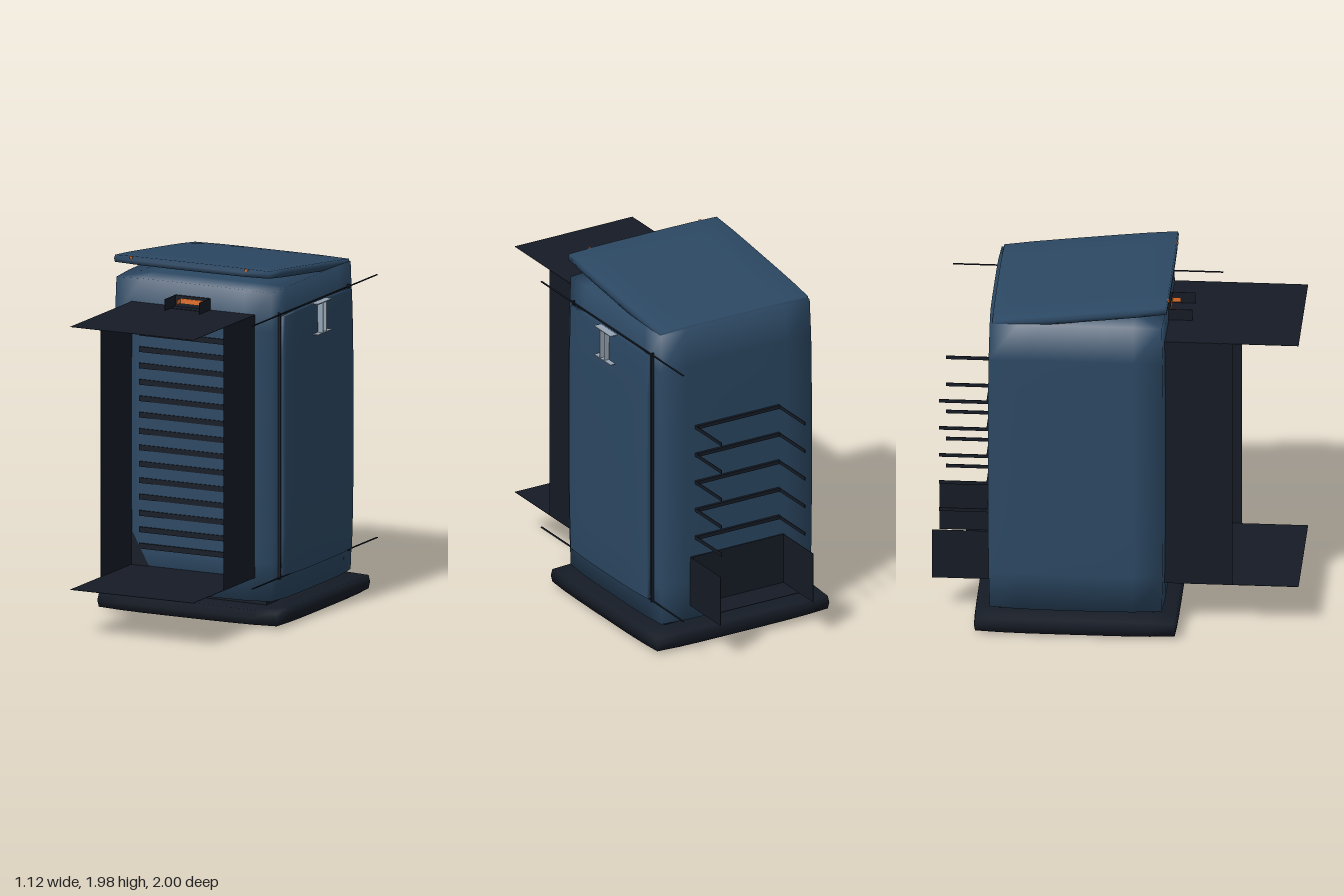
import * as THREE from 'three';
import { mergeVertices } from 'three/addons/utils/BufferGeometryUtils.js';

const mat = (color) => new THREE.MeshStandardMaterial({ color, side: THREE.DoubleSide });
const CX = -0.006, CZ = -0.205; // cabinet axis

export function createModel() {
  const root = new THREE.Group();
  const blue = mat(0x2c4863), dark = mat(0x151b25), orange = mat(0xe0702c), steel = mat(0x94a3b3);

  const group = (name) => {
    const g = new THREE.Group();
    g.name = name;
    root.add(g);
    return g;
  };
  const add = (name, geometry, material, parent = root) => {
    const m = new THREE.Mesh(geometry, material);
    m.name = name;
    parent.add(m);
    return m;
  };
  // box given by its limits on each axis
  const box = (name, x0, x1, y0, y1, z0, z1, material, parent) => {
    const g = new THREE.BoxGeometry(x1 - x0, y1 - y0, z1 - z0);
    g.translate((x0 + x1) / 2, (y0 + y1) / 2, (z0 + z1) / 2);
    return add(name, g, material, parent);
  };
  // box with softly bulging faces and smooth normals
  const pillow = (w, h, d, inset, segs) => {
    let g = new THREE.BoxGeometry(w, h, d, ...segs);
    g.deleteAttribute('normal');
    g.deleteAttribute('uv');
    g = mergeVertices(g);
    const p = g.attributes.position, half = [w / 2, h / 2, d / 2];
    for (let i = 0; i < p.count; i++) {
      const u = [p.getX(i), p.getY(i), p.getZ(i)].map((c, k) => c / half[k]);
      const q = u.map((c, k) => {
        const edge = u[(k + 1) % 3] ** 4 + u[(k + 2) % 3] ** 4;
        return c * (half[k] - inset * edge / 2);
      });
      p.setXYZ(i, ...q);
    }
    g.computeVertexNormals();
    return g;
  };

  // Base, feet and neck
  add('base', pillow(1.11, 0.098, 1.11, 0.012, [8, 2, 8]), dark).position.set(-0.005, 0.057, CZ);
  for (const sx of [-1, 1]) for (const sz of [-1, 1]) {
    add('foot', new THREE.CylinderGeometry(0.045, 0.045, 0.02, 16), dark)
      .position.set(CX + sx * 0.43, 0.01, CZ + sz * 0.43);
  }
  box('neck', CX - 0.42, CX + 0.42, 0.09, 0.14, CZ - 0.42, CZ + 0.42, dark);

  // Cabinet and the lid propped open at the front
  add('cabinet', pillow(0.98, 1.745, 0.97, 0.017, [6, 8, 6]), blue).position.set(CX, 0.99, CZ);
  const lid = add('lid', pillow(0.955, 0.055, 0.965, 0.008, [6, 2, 6]), blue);
  lid.position.set(CX, 1.897, -0.185);
  lid.rotation.x = -0.118;
  for (const x of [-0.375, 0.33]) box('lidCatch', x - 0.008, x + 0.008, 1.962, 1.974, 0.285, 0.297, orange);

  // Front grille: slats and four corner gussets
  const grille = group('grille');
  for (let i = 0; i < 15; i++) {
    const y = 0.37 + i * 0.091;
    box('slat', -0.33, 0.32, y - 0.015, y + 0.015, 0.265, 0.286, dark, grille);
  }
  const gussets = [[-0.38, 1.72, 0.1, -0.1], [0.37, 1.72, -0.11, -0.21],
    [-0.38, 0.26, 0.11, 0.2], [0.37, 0.26, -0.11, 0.1]];
  for (const [x, y, dx, dy] of gussets) {
    const s = new THREE.Shape([[0, 0], [dx, 0], [0, dy]].map(([a, b]) => new THREE.Vector2(x + a, y + b)));
    add('gusset', new THREE.ShapeGeometry(s), dark, grille).position.z = 0.281;
  }

  // Front hood: long top and bottom plates, shorter cheeks
  const hood = group('hood');
  for (const y of [0.26, 1.72]) box('hoodPlate', -0.38, 0.37, y - 0.001, y + 0.001, 0.27, 1, dark, hood);
  for (const x of [-0.38, 0.37]) box('hoodCheek', x - 0.001, x + 0.001, 0.26, 1.72, 0.27, 0.64, dark, hood);

  // Indicator above the grille
  const indicator = group('indicator');
  box('indicatorBack', -0.11, 0.1, 1.72, 1.785, 0.26, 0.282, dark, indicator);
  box('indicatorFloor', -0.11, 0.1, 1.72, 1.723, 0.27, 0.335, dark, indicator);
  for (const x of [-0.11, 0.1]) box('indicatorCheek', x - 0.001, x + 0.001, 1.72, 1.785, 0.27, 0.405, dark, indicator);
  box('lamp', -0.075, 0.065, 1.743, 1.769, 0.28, 0.287, orange, indicator);
  for (const x of [-0.075, 0.065]) box('lampCheek', x - 0.001, x + 0.001, 1.743, 1.769, 0.28, 0.33, orange, indicator);

  // Side door with its seam strips and handle
  const door = group('door');
  add('doorPanel', pillow(0.05, 1.46, 0.81, 0.012, [2, 6, 6]), blue, door).position.set(0.501, 0.99, CZ);
  for (const y of [0.26, 1.72]) box('seamRail', 0.485, 0.495, y - 0.002, y + 0.002, -0.94, 0.53, dark, door);
  for (const z of [-0.612, 0.203]) box('seamStile', 0.478, 0.495, 0.25, 1.73, z - 0.003, z + 0.003, dark, door);

  const handle = group('handle');
  for (const y of [1.55, 1.72]) box('handlePlate', 0.51, 0.555, y - 0.002, y + 0.002, -0.29, -0.12, steel, handle);
  for (const z of [-0.222, -0.18]) box('handleWeb', 0.515, 0.555, 1.55, 1.72, z - 0.001, z + 0.001, steel, handle);
  box('handleBack', 0.512, 0.522, 1.55, 1.72, -0.222, -0.18, steel, handle);

  // Rear rack: five brackets with two prongs each
  const rack = group('rearRack');
  for (let i = 0; i < 5; i++) {
    const y = 0.61 + i * 0.164;
    box('rackBar', -0.27, 0.26, y - 0.01, y + 0.01, -0.705, -0.68, dark, rack);
    for (const x of [-0.27, 0.26]) box('rackProng', x - 0.002, x + 0.002, y - 0.01, y + 0.01, -0.963, -0.68, dark, rack);
  }

  // Rear tray: floor, back plate and two cheeks
  const tray = group('rearTray');
  box('trayFloor', -0.3, 0.29, 0.21, 0.213, -0.855, -0.67, dark, tray);
  box('trayBack', -0.3, 0.29, 0.21, 0.5, -0.694, -0.68, dark, tray);
  for (const x of [-0.3, 0.29]) box('trayCheek', x - 0.001, x + 0.001, 0.21, 0.5, -1, -0.67, dark, tray);

  return root;
}
